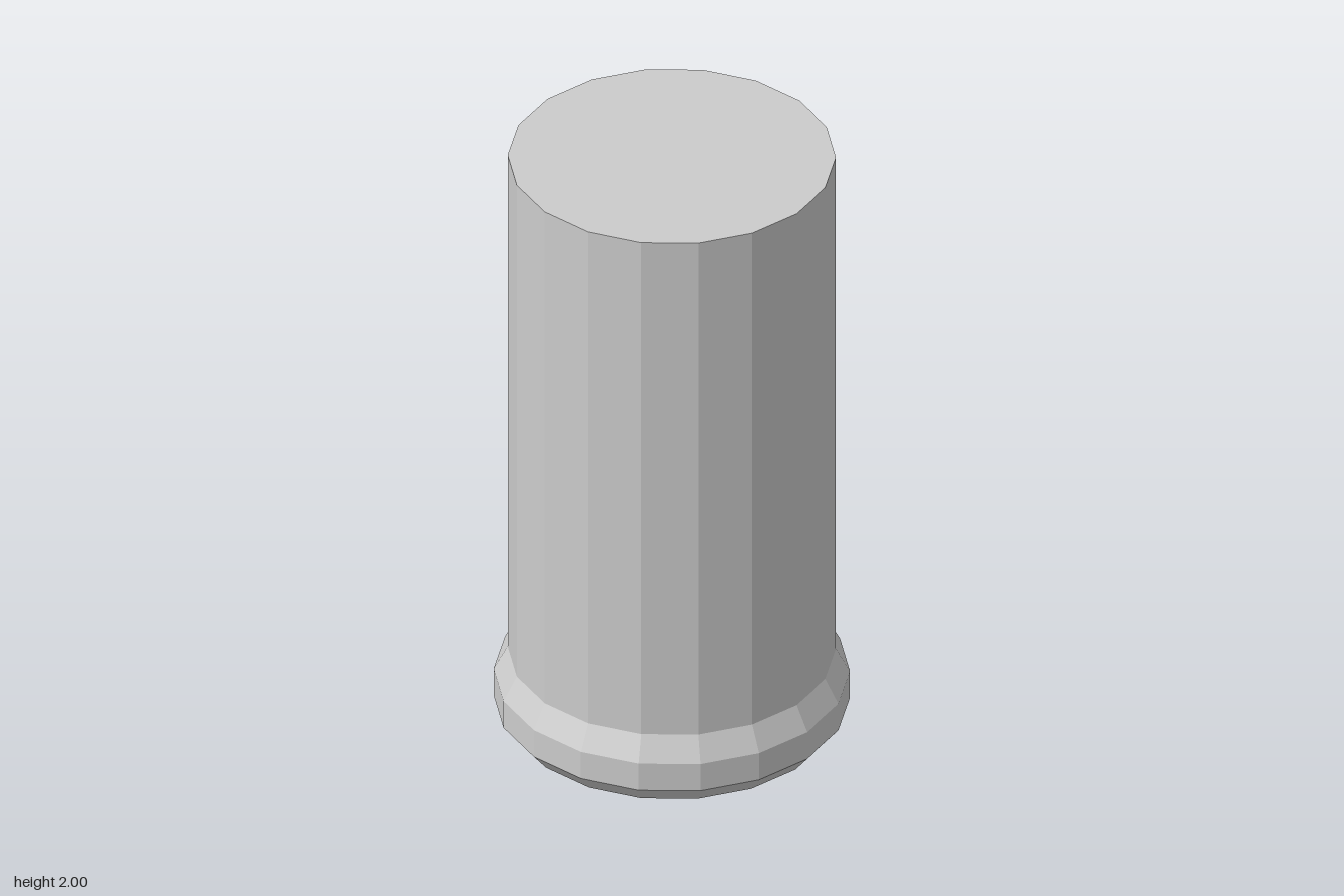
import * as THREE from 'three';

const material = new THREE.MeshStandardMaterial({ color: 0xcccccc, flatShading: true });

// Revolves a [radius, height] profile, with a corner on the x axis
function turned(name, profile, sides) {
  const points = profile.map(([r, y]) => new THREE.Vector2(r, y));
  const mesh = new THREE.Mesh(
    new THREE.LatheGeometry(points, sides, Math.PI / 2, Math.PI * 2), material);
  mesh.name = name;
  return mesh;
}

export function createModel() {
  const group = new THREE.Group();
  group.name = 'canister';

  // Closed shell: recessed base, flared rim, straight wall and flat top
  group.add(turned('canisterBody', [
    [0, 0.245], [0.18, 0.245],   // hub in the recess
    [0.28, 0.33],                // groove around the hub
    [0.365, 0.275],              // inner step
    [0.465, 0.115],              // bottom edge of the rim
    [0.51, 0.17], [0.51, 0.26],  // rim
    [0.47, 0.335], [0.47, 2],    // wall
    [0, 2],
  ], 18));

  // Short valve stem under the hub
  group.add(turned('valveStem', [[0, 0], [0.077, 0], [0.077, 0.25], [0, 0.25]], 10));

  return group;
}
